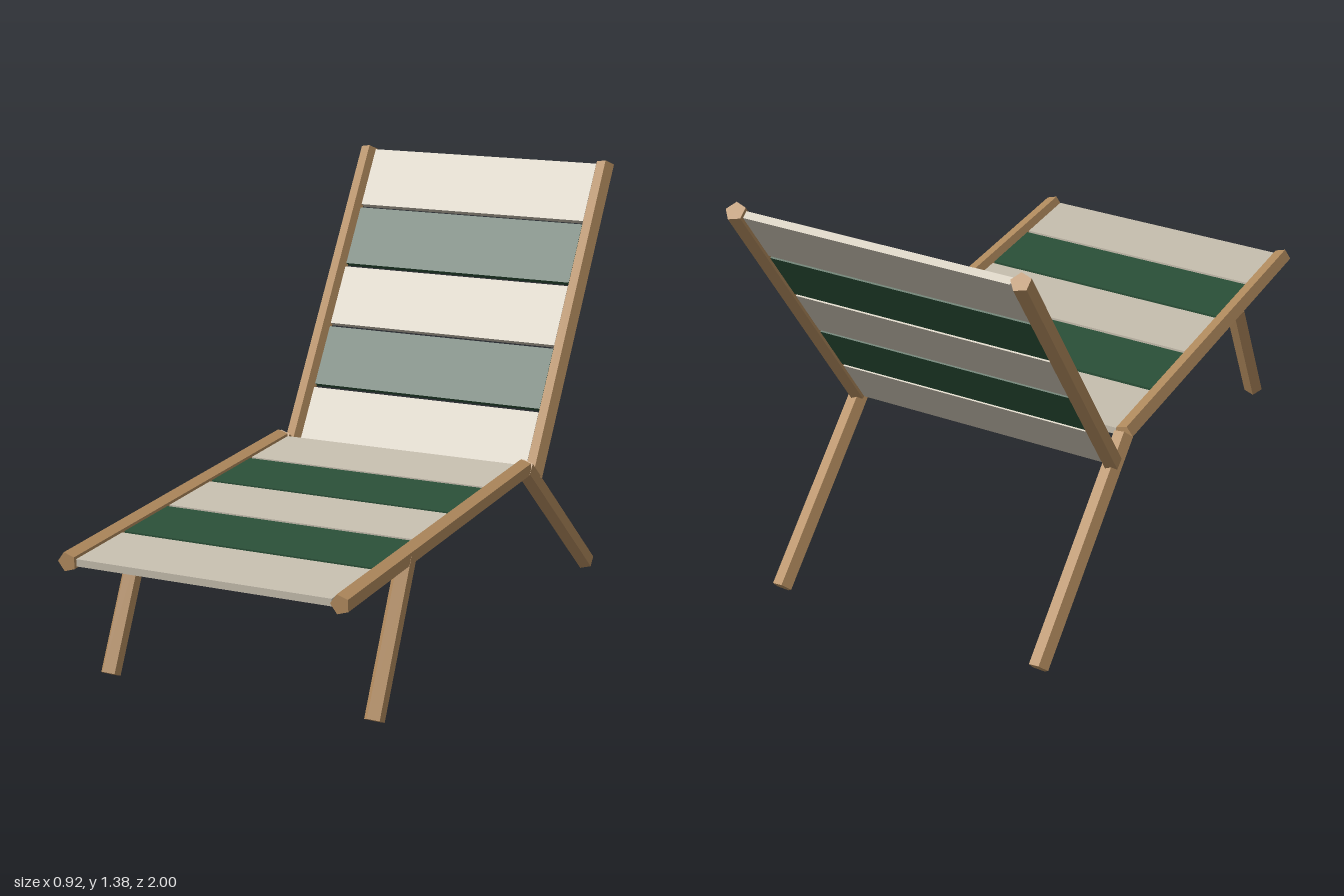
import * as THREE from 'three';

export function createModel() {
  const wood = new THREE.MeshStandardMaterial({ color: 0xb38c5f, flatShading: true });
  wood.name = 'wood';
  const cream = new THREE.MeshStandardMaterial({ color: 0xc8c0b0 });
  cream.name = 'creamFabric';
  const green = new THREE.MeshStandardMaterial({ color: 0x2a5038 });
  green.name = 'greenFabric';

  const chair = new THREE.Group();
  chair.name = 'deckChair';
  const UP = new THREE.Vector3(0, 1, 0);

  // Points on the side profile, given as (y, z)
  const point = (y, z) => new THREE.Vector3(0, y, z);
  const seatFront = point(0.432, 0.999), seatRear = point(0.49, -0.3);
  const backFoot = point(0.44, -0.38), backTop = point(1.363, -0.973);

  // A pair of five-sided poles; ridge is +1 or -1, the x side its sharp edge faces
  function polePair(name, from, to, ridge, radius) {
    const dir = to.clone().sub(from);
    const geometry = new THREE.CylinderGeometry(radius, radius, dir.length(), 5, 1, false, ridge * Math.PI / 2);
    for (const [side, x] of [['left', 0.43], ['right', -0.43]]) {
      const pole = new THREE.Mesh(geometry, wood);
      pole.name = side + name;
      pole.quaternion.setFromUnitVectors(UP, dir.clone().normalize());
      pole.position.copy(from).add(to).multiplyScalar(0.5).setX(x);
      chair.add(pole);
    }
  }

  // Five fabric bands laid along a line, alternating cream and green
  function bands(name, from, to) {
    const group = new THREE.Group();
    group.name = name;
    const dir = to.clone().sub(from);
    const pitch = dir.length() / 5;
    const geometry = new THREE.BoxGeometry(0.805, pitch - 0.012, 0.022);
    for (let i = 0; i < 5; i++) {
      const band = new THREE.Mesh(geometry, i % 2 ? green : cream);
      band.name = name + 'Band' + (i + 1);
      band.quaternion.setFromUnitVectors(UP, dir.clone().normalize());
      band.position.lerpVectors(from, to, (i + 0.5) / 5);
      group.add(band);
    }
    chair.add(group);
  }

  // Frame
  polePair('SeatRail', seatRear, seatFront, -1, 0.03);
  polePair('BackPole', backFoot, backTop, 1, 0.03);
  polePair('FrontLeg', point(0.45, 0.58), point(0.028, 0.787), -1, 0.031);
  polePair('RearLeg', point(0.49, -0.3), point(0.025, -0.87), -1, 0.031);

  // Fabric
  bands('seat', seatRear, seatFront);
  bands('backrest', backFoot, backTop);

  return chair;
}
